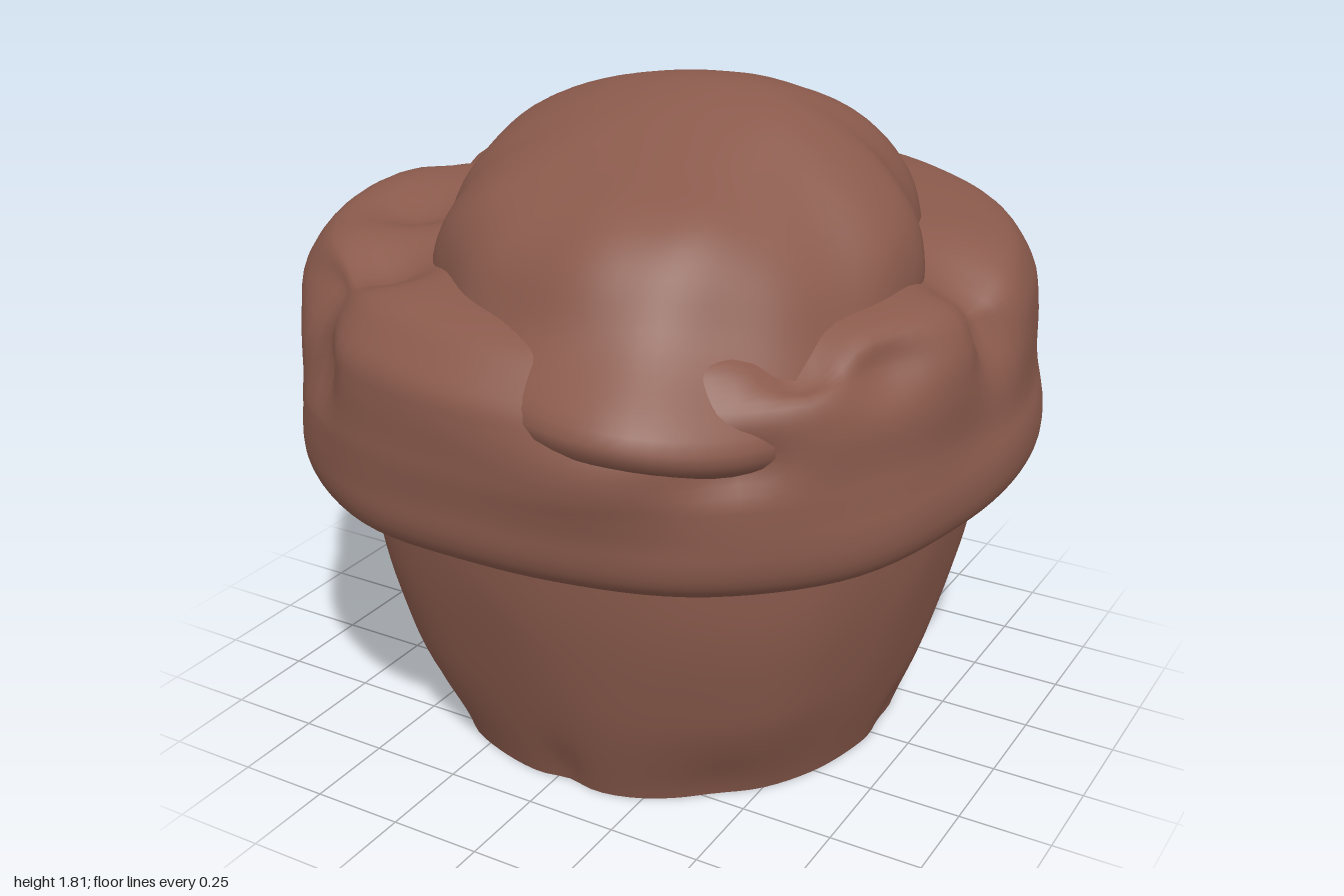
import * as THREE from 'three';

const SEG = 112;
const bell = (d, w) => Math.exp(-(d * d) / (w * w));
const turn = (a, b) => Math.atan2(Math.sin(a - b), Math.cos(a - b));
const rad = THREE.MathUtils.degToRad;
const step = THREE.MathUtils.smoothstep;
// Bell around a direction given in degrees
const toward = (a, deg, width) => bell(turn(a, rad(deg)), rad(width));
// Fullness on the four diagonals
const diagonal = (a) => Math.sin(2 * a) ** 2;

// Soft irregularity that wraps smoothly around the body
const lumps = (a, y) =>
  0.5 * Math.sin(3 * a + 2.1 * y + 0.6) + 0.35 * Math.sin(5 * a - 4 * y + 1.9) +
  0.25 * Math.sin(9 * a + 6 * y) + 0.15 * Math.sin(14 * a - 9 * y + 0.8);

// Revolves a smoothed profile and reshapes every point with a rule.
// Angle 0 faces the front, 90 degrees is the left side.
function loft(profile, rows, shape) {
  const curve = new THREE.CatmullRomCurve3(
    profile.map(([r, y]) => new THREE.Vector3(r, y, 0)), false, 'centripetal');
  const pos = [], idx = [];
  for (let i = 0; i <= rows; i++) {
    const p = curve.getPoint(i / rows);
    for (let j = 0; j < SEG; j++) {
      const a = (j / SEG) * Math.PI * 2;
      pos.push(...shape(Math.max(p.x, 0), p.y, a));
      if (i === rows) continue;
      const k = i * SEG + j, n = i * SEG + (j + 1) % SEG;
      idx.push(k, n, n + SEG, k, n + SEG, k + SEG);
    }
  }
  const g = new THREE.BufferGeometry();
  g.setAttribute('position', new THREE.Float32BufferAttribute(pos, 3));
  g.setIndex(idx);
  g.computeVertexNormals();
  return g;
}

// Dents (and bulges, negative) in the crown wall:
// angle, height, angular width, height width, depth
const DENTS = [
  [-33, 1.18, 6, 0.13, 0.06], [-41, 1.34, 9, 0.10, 0.07],
  [-90, 1.24, 6, 0.12, 0.09], [-98, 1.38, 9, 0.11, 0.09],
  [88, 1.32, 6, 0.13, 0.09], [182, 1.16, 6, 0.10, 0.06],
  [62, 1.33, 7, 0.08, 0.05], [38, 1.14, 7, 0.08, 0.04],
  [21, 1.12, 14, 0.15, -0.05], [-118, 1.30, 25, 0.16, -0.03],
  [-66, 1.28, 12, 0.14, -0.03],
];

// Hollows and bumps on top of the crown: x, z, radius, height
const TOP_BUMPS = [
  [-0.53, -0.48, 0.17, 0.1], [-0.1, -0.54, 0.2, 0.04],
  [0.82, 0.0, 0.12, -0.08], [-0.75, -0.16, 0.12, -0.09],
  [-0.46, 0.62, 0.13, -0.08], [-0.6, 0.3, 0.14, -0.07],
  [0.68, 0.6, 0.1, -0.07],
];

function crownPoint(r, y, a) {
  const front = Math.pow(0.5 + 0.5 * Math.cos(a - 0.25), 2.5);
  const wall = step(r, 0.5, 0.9);
  let R = r + wall * (0.011 * lumps(a, y) + 0.02 * diagonal(a));
  // The wall stands straight above the lip at front and back
  R += wall * 0.035 * Math.cos(a) ** 2 * step(y, 0.92, 1.05) * (1 - step(y, 1.25, 1.4));
  for (const [deg, h, w, v, depth] of DENTS)
    R -= depth * toward(a, deg, w) * bell(y - h, v) * wall;
  // The front shoulder slopes lower than the others
  let Y = y;
  if (y > 1) Y = 1 + (y - 1) * (1 - 0.2 * front - 0.06 * Math.max(0, Math.sin(a)));
  else Y += 0.012 * Math.sin(4 * a + 1) - 0.015 * front;
  const x = R * Math.sin(a), z = R * Math.cos(a);
  for (const [bx, bz, s, h] of TOP_BUMPS)
    Y += h * bell(Math.hypot(x - bx, z - bz), s) * step(y, 1.3, 1.42);
  return [x, Y, z];
}

function domePoint(r, y, a) {
  const edge = step(r, 0.05, 0.5);
  let R = r + 0.016 * lumps(a + 1, y) * edge;
  // Creases running up the dome
  R -= 0.025 * toward(a, -68, 9) * edge + 0.03 * toward(a, 118, 9) * edge;
  // Front side flows down over the crown, back side runs out in a short ramp
  R += 0.25 * toward(a, 22, 38) * bell(y - 1.29, 0.14);
  R += 0.05 * toward(a, -150, 45) * bell(y - 1.4, 0.1);
  const x = 0.12 + R * Math.sin(a), z = 0.17 + R * Math.cos(a);
  const ripple = 0.009 * Math.sin(7 * x + 2 * z) * Math.sin(6 * z + 1);
  // The top leans down toward the front and left
  const lean = 0.11 * step(z, 0, 0.5) + 0.05 * step(x, 0.35, 0.7);
  return [x, y - lean + ripple, z];
}

// Pinches around the foot of the cup: angle, width, depth
const PINCHES = [[3, 5, 0.02], [-40, 7, 0.025], [40, 8, 0.015], [95, 7, 0.02],
  [150, 8, 0.015], [-150, 7, 0.015]];

function cupPoint(r, y, a) {
  let R = r + 0.01 * lumps(a + 2, y * 0.6);
  R += 0.03 * diagonal(a) * step(y, 0, 0.3) * (1 - 0.6 * step(y, 0.45, 0.8));
  for (const [deg, w, d] of PINCHES) R -= d * toward(a, deg, w) * bell(y - 0.03, 0.12);
  return [R * Math.sin(a), y, R * Math.cos(a) - 0.015];
}

export function createModel() {
  const group = new THREE.Group();
  const cake = new THREE.MeshStandardMaterial({ color: 0x8a5a4c });
  cake.name = 'chocolate brown';
  const add = (name, geometry) => {
    const mesh = new THREE.Mesh(geometry, cake);
    mesh.name = name;
    group.add(mesh);
  };

  // Tapered lower body
  add('cup', loft([[0.645, 0], [0.7, 0.17], [0.77, 0.42], [0.815, 0.62], [0.84, 0.82]], 24, cupPoint));

  // Flat underside, following the foot of the cup
  add('underside', loft([[0, 0], [0.32, 0], [0.645, 0]], 2, (r, y, a) => {
    const [x, , z] = cupPoint(0.645, 0, a);
    return [x * r / 0.645, 0, z * r / 0.645];
  }));

  // Overhanging crown with a rounded lip
  add('crown', loft([[0.77, 0.79], [0.85, 0.755], [0.95, 0.8], [0.98, 0.85], [0.987, 0.93],
    [0.962, 1.04], [0.957, 1.2], [0.94, 1.32], [0.88, 1.42], [0.7, 1.47], [0.4, 1.48], [0, 1.48]],
  56, crownPoint));

  // Raised dome bursting through the crown
  add('dome', loft([[0.5, 1.05], [0.58, 1.2], [0.62, 1.34], [0.635, 1.45], [0.6, 1.58], [0.5, 1.69],
    [0.3, 1.775], [0.12, 1.805], [0, 1.81]], 40, domePoint));

  return group;
}
